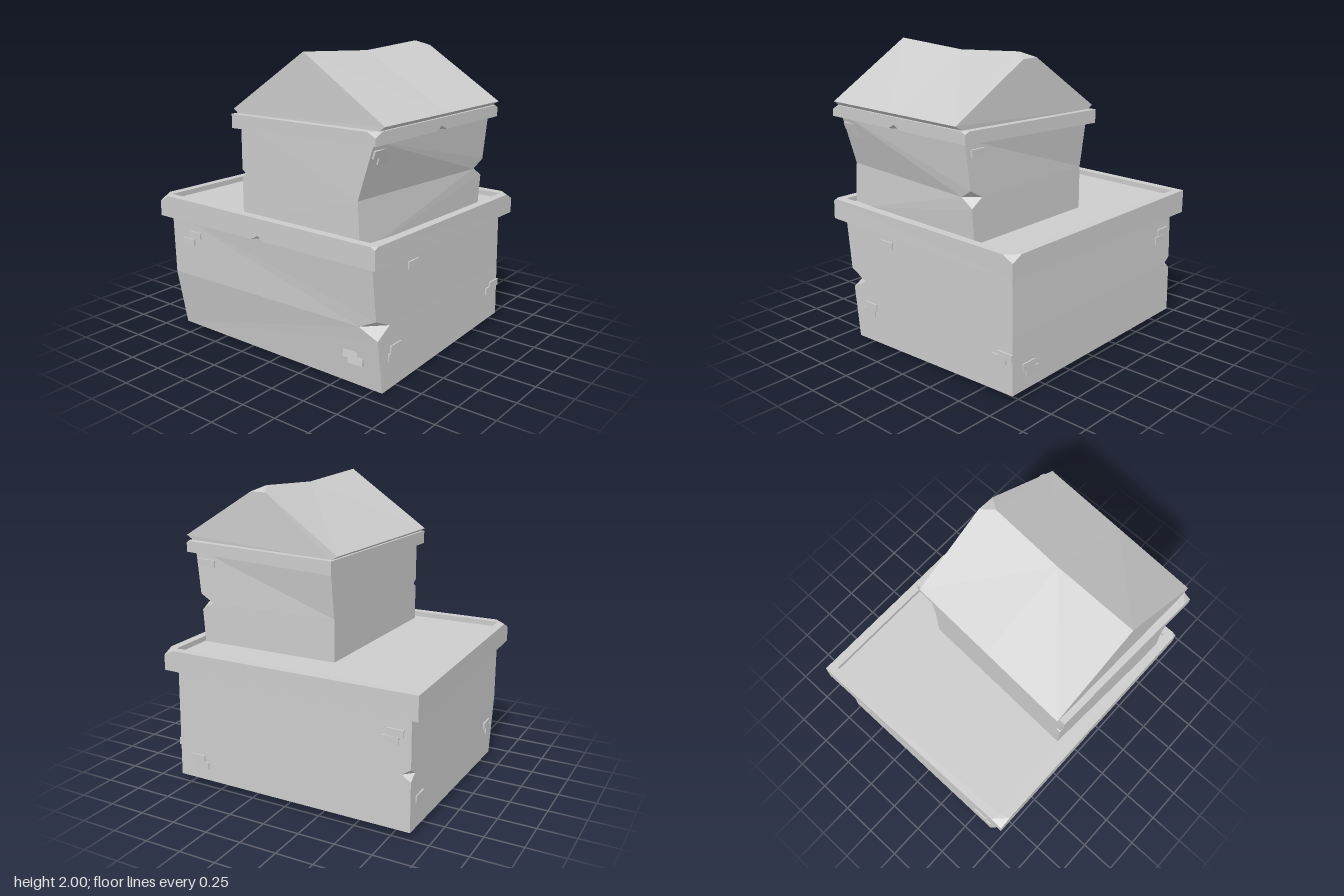
import * as THREE from 'three';

const V = (p) => new THREE.Vector3(...p);
const lerp = (a, b, t) => a.map((v, i) => v + (b[i] - v) * t);
const dist = (a, b) => V(a).distanceTo(V(b));
const toward = (a, b, d) => lerp(a, b, d / dist(a, b)); // move a by d towards b
const mean = (pts) => [0, 1, 2].map((i) => pts.reduce((s, p) => s + p[i], 0) / pts.length);

// Collects flat polygons (as fans) and turns each away from a given centre
class Faces {
  constructor(centre) { this.centre = V(centre); this.pos = []; }
  add(poly, inward = false) {
    for (let i = 1; i < poly.length - 1; i++) {
      const t = [poly[0], poly[i], poly[i + 1]];
      const [a, b, c] = t.map(V);
      const n = b.clone().sub(a).cross(c.clone().sub(a));
      const out = n.dot(mean(t).length && V(mean(t)).sub(this.centre)) > 0;
      if (out === inward) t.reverse();
      this.pos.push(...t.flat());
    }
  }
  mesh(name, material) {
    const g = new THREE.BufferGeometry();
    g.setAttribute('position', new THREE.Float32BufferAttribute(this.pos, 3));
    g.computeVertexNormals();
    const m = new THREE.Mesh(g, material);
    m.name = name;
    return m;
  }
}

// Crooked block: four corners of [bottom, middle, top]; notch[i] = [half height, depth] or null
function block(corners, notch) {
  const mids = corners.map((c) => c[1]);
  const f = new Faces(mean(mids));
  const edge = (i, j, end) => { // points up or down a corner edge, on the wall facing corner j
    const [m, e] = [mids[i], corners[i][end]];
    if (!notch[i]) return [e, m];
    return [e, toward(m, e, notch[i][0]), toward(m, mids[j], notch[i][1])];
  };
  for (let i = 0; i < 4; i++) {
    const j = (i + 1) % 4, h = (i + 3) % 4;
    for (const end of [0, 2]) {
      f.add([...edge(i, j, end), ...edge(j, i, end).reverse()]);
      if (notch[i]) {
        const [, tip, a] = edge(i, j, end);
        f.add([tip, a, edge(i, h, end)[2]]);
      }
    }
  }
  f.add(corners.map((c) => c[0]));
  f.add(corners.map((c) => c[2]));
  return f;
}

// Projecting band with raised rim; chip[i] cuts a top corner, bite[i] nicks a lower edge
function band(bottom, top, inset, depth, chip, bite) {
  const f = new Faces(mean([...bottom, ...top]));
  const centre = mean(top);
  const inner = top.map((p) => [p[0] - inset * Math.sign(p[0] - centre[0]), p[1], p[2] - inset * Math.sign(p[2] - centre[2])]);
  const floor = inner.map((p) => [p[0], p[1] - depth, p[2]]);
  const along = (i, j) => (chip[i] ? toward(top[i], top[j], chip[i]) : top[i]);
  const down = (i) => toward(top[i], bottom[i], chip[i] * 0.5);
  const under = [];
  for (let i = 0; i < 4; i++) {
    const j = (i + 1) % 4, h = (i + 3) % 4;
    const a = along(i, j), b = along(j, i);
    const wall = [bottom[j], ...(chip[j] ? [down(j)] : []), b, a, ...(chip[i] ? [down(i)] : []), bottom[i]];
    under.push(bottom[i]);
    if (bite[i]) {
      const m = lerp(bottom[i], bottom[j], 0.5);
      const l = toward(m, bottom[i], 0.055), r = toward(m, bottom[j], 0.055);
      const apex = [m[0], m[1] + 0.028, m[2]], deep = toward(m, mean(bottom), 0.06);
      f.add([apex, r, ...wall, l]);
      f.add([apex, l, deep]);
      f.add([apex, r, deep]);
      under.push(l, deep, r);
    } else f.add(wall);
    f.add([a, b, inner[j], inner[i]]);
    f.add([inner[i], inner[j], floor[j], floor[i]], true);
    if (chip[i]) {
      f.add([a, along(i, h), inner[i]]);
      f.add([a, along(i, h), down(i)]);
    }
  }
  const mid = mean(bottom);
  under.forEach((p, i) => f.add([mid, p, under[(i + 1) % under.length]]));
  const up = new Faces([centre[0], 0, centre[2]]);
  up.add(floor);
  f.pos.push(...up.pos);
  return f;
}

// Sagging gable roof from three cross-sections, with a chip out of the rear ridge end
function roof() {
  const f = new Faces([0.3, 1.72, 0.13]);
  // each section: left base, left eave, ridge, right eave, right base
  const front = [[-0.27, 1.585, 0.69], [-0.31, 1.61, 0.69], [0.28, 2, 0.71], [0.87, 1.635, 0.73], [0.83, 1.605, 0.73]];
  const back = [[-0.21, 1.585, -0.5], [-0.25, 1.61, -0.5], [0.33, 1.995, -0.47], [0.93, 1.635, -0.44], [0.88, 1.605, -0.44]];
  const mid = front.map((p, i) => lerp(p, back[i], 0.5));
  mid[2] = [0.305, 1.965, 0.13];
  const [cutL, cutR, cutTop] = [[0.275, 1.96, -0.472], [0.39, 1.958, -0.466], [0.328, 1.992, -0.38]];
  for (const i of [0, 1, 2, 3, 4]) {
    const j = (i + 1) % 5;
    f.add([front[i], front[j], mid[j], mid[i]]);
    if (i === 1) f.add([back[1], cutL, cutTop, mid[2], mid[1]]);
    else if (i === 2) f.add([back[3], cutR, cutTop, mid[2], mid[3]]);
    else f.add([mid[i], mid[j], back[j], back[i]]);
  }
  f.add(front);
  f.add([back[0], back[1], cutL, cutR, back[3], back[4]]);
  f.add([cutL, cutR, cutTop]);
  return f;
}

export function createModel() {
  const group = new THREE.Group();
  const mat = new THREE.MeshStandardMaterial({ color: 0xcccccc, flatShading: true });
  const put = (faces, name) => group.add(faces.mesh(name, mat));

  // Corners run front left-hand (-x), front right-hand (+x), back +x, back -x
  put(block([
    [[-0.88, 0.015, 0.65], [-0.876, 0.42, 0.73], [-0.87, 0.85, 0.745]],
    [[0.815, 0, 0.645], [0.81, 0.415, 0.7], [0.807, 0.85, 0.75]],
    [[0.815, 0.05, -0.76], [0.81, 0.42, -0.757], [0.807, 0.83, -0.75]],
    [[-0.88, 0.055, -0.76], [-0.876, 0.42, -0.757], [-0.87, 0.82, -0.75]],
  ], [null, [0.065, 0.13], null, [0.04, 0.06]]), 'lowerWalls');

  put(band(
    [[-0.925, 0.83, 0.8], [0.865, 0.83, 0.8], [0.87, 0.803, -0.81], [-0.935, 0.79, -0.81]],
    [[-0.925, 0.977, 0.8], [0.862, 0.967, 0.8], [0.87, 0.943, -0.81], [-0.935, 0.95, -0.81]],
    0.058, 0.035, [0.085, 0.03, 0.075, 0], [1, 0, 0, 0]), 'lowerParapet');

  put(block([
    [[-0.25, 0.88, 0.69], [-0.25, 1.205, 0.69], [-0.25, 1.53, 0.69]],
    [[0.72, 0.88, 0.745], [0.7, 1.195, 0.745], [0.81, 1.55, 0.74]],
    [[0.8, 0.88, -0.45], [0.82, 1.19, -0.45], [0.86, 1.55, -0.44]],
    [[-0.2, 0.88, -0.45], [-0.2, 1.2, -0.45], [-0.2, 1.53, -0.495]],
  ], [[0.025, 0.035], null, [0.055, 0.09], null]), 'upperWalls');

  put(band(
    [[-0.29, 1.495, 0.73], [0.845, 1.53, 0.78], [0.9, 1.53, -0.485], [-0.23, 1.5, -0.545]],
    [[-0.29, 1.585, 0.73], [0.845, 1.607, 0.78], [0.9, 1.605, -0.485], [-0.23, 1.588, -0.545]],
    0.06, 0.01, [0, 0.06, 0.03, 0], [0, 1, 0, 0]), 'upperCornice');

  put(roof(), 'roof');

  // Exposed bricks: position, facing axis, lean of the wall, offset of a second brick or null
  const bricks = [
    [[-0.665, 0.722, 0.735], 'z', 0.03, [-0.06, -0.055]],
    [[0.6, 0.205, 0.671], 'z', 0.13, [0.04, -0.03]],
    [[0.33, 0.735, 0.808], 'x', 0, null],
    [[-0.655, 0.26, 0.812], 'x', 0, [-0.05, 0.03]],
    [[0.53, 0.21, 0.811], 'x', 0, [-0.02, 0.045]],
    [[0.67, 1.47, 0.79], 'x', -0.28, [-0.055, -0.045]],
    [[0.64, 0.155, -0.757], 'z', 0, [0.03, 0.045]],
    [[-0.77, 0.675, -0.753], 'z', 0, [0.03, -0.05]],
    [[-0.63, 0.24, -0.876], 'x', 0, null],
    [[0.6, 0.22, -0.877], 'x', 0, [-0.04, 0.045]],
    [[0.76, 1.46, -0.445], 'z', 0, null],
  ];
  const brickGeo = new THREE.BoxGeometry(0.11, 0.048, 0.02);
  for (const [p, axis, lean, second] of bricks) {
    const cluster = new THREE.Group();
    cluster.name = 'bricks';
    for (const off of second ? [[0, 0], second] : [[0, 0]]) {
      const b = new THREE.Mesh(brickGeo, mat);
      b.name = 'brick';
      b.position.set(axis === 'x' ? -off[0] : off[0], off[1], 0);
      cluster.add(b);
    }
    // side bricks list z first, then y, then the wall's x
    if (axis === 'x') cluster.position.set(p[2], p[1], p[0]);
    else cluster.position.set(...p);
    cluster.rotation.order = 'YXZ';
    cluster.rotation.set(axis === 'z' ? -lean : -lean, axis === 'x' ? Math.PI / 2 : 0, 0);
    group.add(cluster);
  }
  return group;
}
